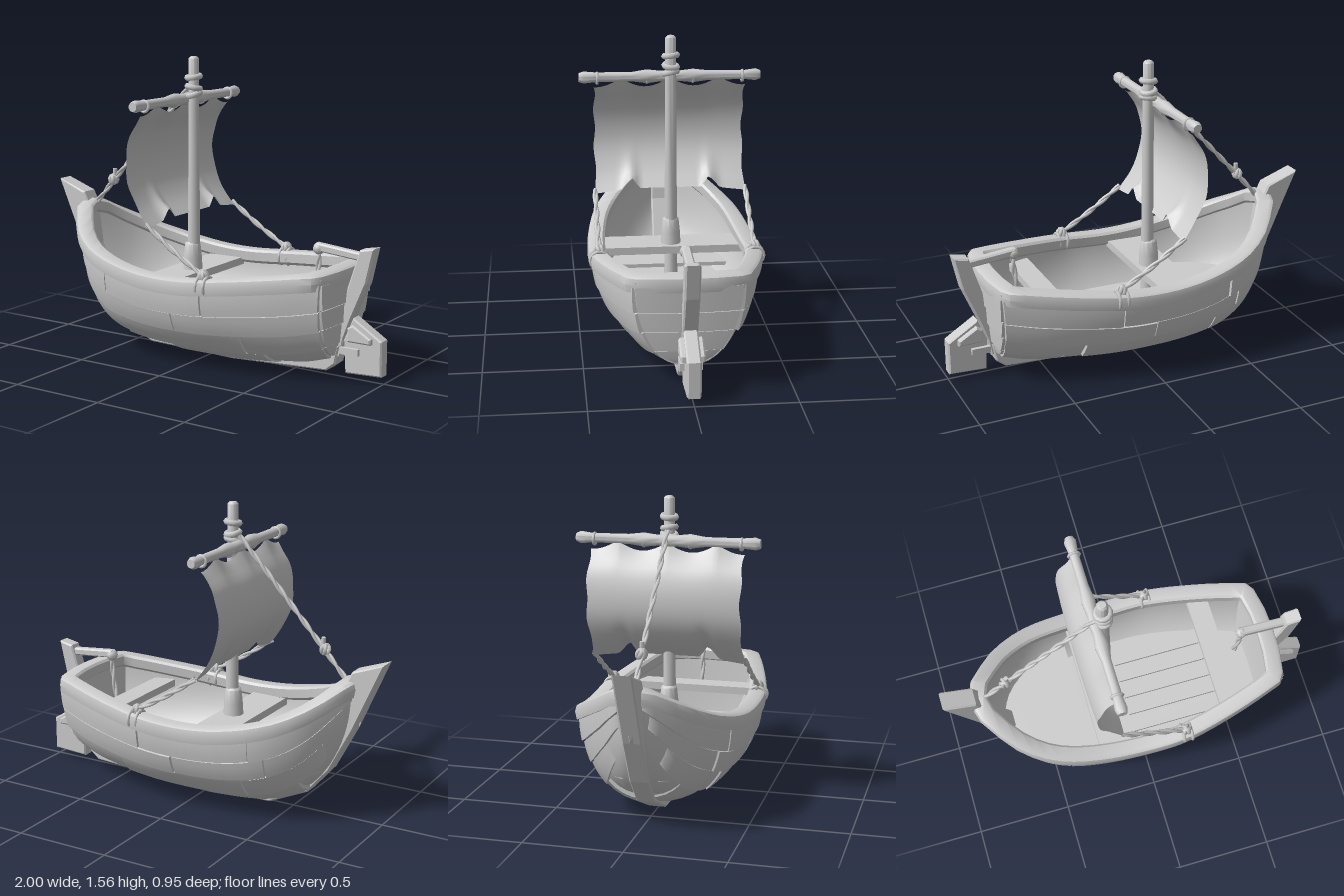
import * as THREE from 'three';
import { toCreasedNormals, mergeGeometries } from 'three/addons/utils/BufferGeometryUtils.js';

const V = (x, y, z) => new THREE.Vector3(x, y, z);
const grey = new THREE.MeshStandardMaterial({ color: 0xcccccc, side: THREE.DoubleSide });
grey.name = 'paleGrey';

let seed = 7;
const rand = () => (seed = (seed * 16807) % 2147483647) / 2147483647;

// smooth interpolation through [x, value] pairs
function interp(pts) {
  const n = pts.length - 1;
  const slope = (i) => {
    const a = pts[Math.max(0, i - 1)], b = pts[Math.min(n, i + 1)];
    return (b[1] - a[1]) / (b[0] - a[0]);
  };
  return (x) => {
    let i = 0;
    while (i < n - 1 && x > pts[i + 1][0]) i++;
    const d = pts[i + 1][0] - pts[i][0];
    const t = Math.min(1, Math.max(0, (x - pts[i][0]) / d)), s = t * t, c = s * t;
    return (2 * c - 3 * s + 1) * pts[i][1] + (c - 2 * s + t) * d * slope(i)
      + (3 * s - 2 * c) * pts[i + 1][1] + (c - s) * d * slope(i + 1);
  };
}

// surface from fn(u, v), u and v in 0..1
function grid(nu, nv, fn) {
  const pos = [], idx = [];
  for (let i = 0; i <= nu; i++) for (let j = 0; j <= nv; j++) {
    pos.push(...fn(i / nu, j / nv, i, j).toArray());
    if (i < nu && j < nv) {
      const a = i * (nv + 1) + j, b = a + nv + 1;
      idx.push(a, b, a + 1, b, b + 1, a + 1);
    }
  }
  const g = new THREE.BufferGeometry();
  g.setAttribute('position', new THREE.Float32BufferAttribute(pos, 3));
  g.setIndex(idx);
  g.computeVertexNormals();
  return g;
}

// raised patch with skirts; fn(u, v, height)
function patch(nu, nv, thick, fn) {
  return toCreasedNormals(grid(nu + 2, nv + 2, (a, b, i, j) => {
    const edge = i === 0 || j === 0 || i === nu + 2 || j === nv + 2;
    const u = Math.min(1, Math.max(0, (i - 1) / nu)), v = Math.min(1, Math.max(0, (j - 1) / nv));
    return fn(u, v, edge ? -0.01 : thick + 0.008 * (1 - v));
  }), 0.7);
}

// hull lines: half width, sheer height and keel height along x
const beam = interp([[-0.87, 0.035], [-0.83, 0.08], [-0.77, 0.165], [-0.66, 0.29], [-0.5, 0.385], [-0.3, 0.43], [0, 0.45], [0.2, 0.445], [0.5, 0.38], [0.8, 0.285]]);
const sheer = interp([[-0.86, 0.78], [-0.79, 0.73], [-0.69, 0.65], [-0.53, 0.57], [-0.26, 0.505], [0, 0.49], [0.33, 0.52], [0.8, 0.58]]);
const keelY = interp([[-0.84, 0.5], [-0.72, 0.27], [-0.6, 0.14], [-0.38, 0.06], [0.14, 0.045], [0.6, 0.07], [0.8, 0.115]]);
const FULL = 0.85;

function hullPoint(x, v, side, off) {
  const th = v * Math.PI / 2, k = keelY(x);
  const y = k + (sheer(x) - 0.03 - k) * (1 - Math.cos(th)) - off * Math.cos(th);
  const z = Math.max(0, (beam(x) - 0.03) * Math.pow(Math.sin(th), FULL) + off * Math.sin(th));
  return V(x - 0.06 * (1 - v) * Math.max(0, (x - 0.4) / 0.4), y, side * z);
}
function transomPoint(v, s, off) {
  const p = hullPoint(0.785, v, 1, 0);
  return V(p.x + 0.02 * (1 - s * s) * v + off, p.y, p.z * s);
}

// flat deck fitted inside the hull
function deck(x0, x1, y) {
  const pts = [];
  for (let i = 0; i <= 20; i++) {
    const x = x0 + (x1 - x0) * i / 20, k = keelY(x);
    const c = 1 - (y - k) / (sheer(x) - 0.03 - k);
    const th = Math.acos(Math.min(1, Math.max(0, c)));
    pts.push([x, Math.max(0.01, (beam(x) - 0.03) * Math.pow(Math.sin(th), FULL) - 0.02)]);
  }
  const shape = new THREE.Shape([...pts, ...pts.slice().reverse().map(([x, z]) => [x, -z])].map((p) => new THREE.Vector2(...p)));
  return new THREE.ExtrudeGeometry(shape, { depth: 0.02, bevelEnabled: false }).rotateX(Math.PI / 2).translate(0, y, 0);
}

// side profile in x, y given a width in z
function slab(points, width) {
  const shape = new THREE.Shape(points.map((p) => new THREE.Vector2(...p)));
  const b = 0.008;
  return new THREE.ExtrudeGeometry(shape, { depth: width - 2 * b, bevelThickness: b, bevelSize: b, bevelOffset: -b, bevelSegments: 1 })
    .translate(0, 0, b - width / 2);
}

// two strands twisted round a path
function rope(points, r = 0.009) {
  const curve = new THREE.CatmullRomCurve3(points), len = curve.getLength(), n = Math.ceil(len * 50);
  const t = points[points.length - 1].clone().sub(points[0]).normalize();
  const a = V(0, 0, 1).cross(t).normalize(), b = t.clone().cross(a);
  return mergeGeometries([0, Math.PI].map((phase) => {
    const pts = [];
    for (let i = 0; i <= n; i++) {
      const w = phase + i / n * len * 30;
      pts.push(curve.getPoint(i / n).addScaledVector(a, r * 0.7 * Math.cos(w)).addScaledVector(b, r * 0.7 * Math.sin(w)));
    }
    return new THREE.TubeGeometry(new THREE.CatmullRomCurve3(pts), n * 2, r, 6);
  }));
}

// round bar turned from [radius, height] pairs
const turned = (pts) => toCreasedNormals(new THREE.LatheGeometry(pts.map((p) => new THREE.Vector2(...p)), 10), 0.8);

export function createModel() {
  const boat = new THREE.Group();
  boat.name = 'sailingBoat';
  const add = (name, geo, parent = boat) => {
    const m = new THREE.Mesh(geo, grey);
    m.name = name;
    parent.add(m);
    return m;
  };
  const box = (name, w, h, d, x, y, z) => add(name, new THREE.BoxGeometry(w, h, d).translate(x, y, z));

  // hull skin, lining and overlapping planks
  const strakes = [[0.02, 0.37], [0.38, 0.59], [0.6, 0.76], [0.77, 0.96]];
  const joints = [[-0.62, -0.1, 0.45, 0.785], [-0.74, -0.37, 0.36, 0.785], [-0.81, -0.5, 0, 0.785], [-0.84, -0.43, 0.19, 0.785]];
  for (const side of [1, -1]) {
    add('hullSkin', grid(36, 12, (u, v) => hullPoint(-0.86 + 1.645 * u, v, side, 0)));
    add('hullLining', grid(36, 12, (u, v) => hullPoint(-0.82 + 1.54 * u, v, side, -0.03)));
    strakes.forEach(([v0, v1], s) => {
      for (let i = 0; i < 3; i++) {
        const x0 = joints[s][i] + 0.004, x1 = joints[s][i + 1] - 0.004, thick = 0.004 + 0.014 * rand();
        add('plank', patch(12, 4, thick, (u, v, h) => hullPoint(x0 + (x1 - x0) * u, v0 + (v1 - v0) * v, side, h)));
      }
    });
  }

  // stern board with its planks
  add('transom', grid(12, 10, (u, v) => transomPoint(v, u * 2 - 1, 0)));
  add('transomLining', grid(12, 10, (u, v) => transomPoint(v, u * 2 - 1, -0.07)));
  strakes.forEach(([v0, v1]) => add('transomPlank', patch(10, 3, 0.002 + 0.008 * rand(),
    (u, v, h) => transomPoint(v0 + (v1 - v0) * v, u * 2 - 1, h))));

  // gunwale rail swept round the sheer
  const half = [];
  for (let i = 0; i <= 24; i++) {
    const x = -0.79 + 1.515 * i / 24;
    half.push([x, Math.max(0.05, beam(x) - 0.045)]);
  }
  half.push([0.745, 0.235]);
  const path = [[-0.82, 0], ...half, [0.765, 0.12], [0.77, 0], [0.765, -0.12], ...half.slice().reverse().map(([x, z]) => [x, -z])];
  const section = [[0.047, -0.04], [0.04, -0.01], [0.025, 0], [-0.035, 0], [-0.047, -0.012], [-0.045, -0.06], [-0.03, -0.075], [0.04, -0.08], [0.047, -0.04]];
  const n = path.length;
  add('gunwale', toCreasedNormals(grid(n, section.length - 1, (u, v, i, j) => {
    const p = path[i % n], a = path[(i + n - 1) % n], b = path[(i + 1) % n];
    const d1 = new THREE.Vector2(p[0] - a[0], p[1] - a[1]).normalize();
    const t = new THREE.Vector2(b[0] - p[0], b[1] - p[1]).normalize().add(d1).normalize();
    const miter = Math.min(1.3, 1 / Math.max(0.1, t.dot(d1))), o = section[j][0] * miter;
    return V(p[0] - t.y * o, sheer(p[0]) + section[j][1], p[1] + t.x * o);
  }), 0.7));

  // stem, keel, stern post and rudder
  add('stemAndKeel', slab([[-1, 0.85], [-0.84, 0.48], [-0.72, 0.25], [-0.6, 0.11], [-0.38, 0.01], [0.14, 0], [0.7, 0.03], [0.75, 0.07], [0.77, 0.17],
    [0.6, 0.1], [0.14, 0.07], [-0.33, 0.08], [-0.54, 0.15], [-0.66, 0.27], [-0.77, 0.5], [-0.8, 0.73], [-0.83, 0.79]], 0.1));
  add('sternPost', slab([[0.95, 0.68], [0.87, 0.665], [0.79, 0.42], [0.73, 0.12], [0.77, 0.1], [0.79, 0.2], [0.83, 0.31], [0.91, 0.5]], 0.075));
  add('rudder', slab([[0.8, 0.03], [1, 0.04], [1, 0.22], [0.84, 0.32], [0.79, 0.2]], 0.07));
  add('rudderCheeks', slab([[0.82, 0.2], [0.95, 0.2], [0.95, 0.23], [0.85, 0.29], [0.82, 0.27]], 0.12));
  for (const z of [0.045, -0.045]) box('rudderPeg', 0.1, 0.035, 0.02, 0.83, 0.15, z);

  // tiller with its lashing
  add('tiller', slab([[0.6, 0.63], [0.615, 0.67], [0.88, 0.645], [0.88, 0.605]], 0.045));
  add('tillerKnob', new THREE.SphereGeometry(0.032, 8, 6).translate(0.625, 0.64, 0));
  add('tillerRope', rope([V(0.63, 0.64, 0), V(0.62, 0.53, 0), V(0.6, 0.4, 0)]));

  // inside: floor boards, foredeck and benches
  add('floor', deck(-0.55, 0.7, 0.2));
  add('foredeck', deck(-0.69, -0.28, 0.27));
  for (let i = -2; i <= 2; i++) box('floorBoard', 0.5 + 0.15 * rand(), 0.016, 0.085, 0.2, 0.206, i * 0.1);
  box('mastBench', 0.2, 0.04, 0.76, -0.16, 0.42, 0);
  box('sternBench', 0.115, 0.04, 0.66, 0.485, 0.42, 0);

  // mast with collar and rope bindings
  add('mast', turned([[0, 0.2], [0.036, 0.2], [0.033, 0.6], [0.029, 1.3], [0.028, 1.55], [0.018, 1.56], [0, 1.56]])).position.x = -0.13;
  add('mastCollar', turned([[0.054, 0.42], [0.05, 0.5], [0.042, 0.575], [0.03, 0.585]])).position.x = -0.138;
  [[1.365, 0.2], [1.4, -0.15], [1.455, 0.1]].forEach(([y, tilt]) => {
    const ring = add('mastBinding', new THREE.TorusGeometry(0.034, 0.016, 6, 12).rotateX(Math.PI / 2));
    ring.position.set(-0.13, y, 0);
    ring.rotation.set(tilt, 0, tilt);
  });

  // yard with bulges and lashings
  add('yard', turned([[0, -0.475], [0.022, -0.475], [0.032, -0.45], [0.024, -0.39], [0.026, -0.2], [0.036, -0.12], [0.028, -0.05], [0.033, 0],
    [0.028, 0.05], [0.037, 0.12], [0.025, 0.2], [0.026, 0.39], [0.032, 0.45], [0.024, 0.475], [0, 0.475]]).rotateX(Math.PI / 2)).position.set(-0.17, 1.34, 0);
  for (const z of [-0.38, -0.12, 0.12, 0.38])
    add('yardLashing', new THREE.TorusGeometry(0.028, 0.008, 6, 12)).position.set(-0.17, 1.335, z);

  // billowing sail with a ragged lower edge and a scalloped head
  const belly = interp([[0, -0.14], [0.15, -0.21], [0.35, -0.265], [0.55, -0.275], [0.75, -0.25], [0.9, -0.205], [1, -0.18]]);
  const foot = (z) => {
    const a = Math.abs(z), notch = Math.max(0, 1 - Math.abs(a - 0.205) / (a < 0.205 ? 0.04 : 0.06));
    return 0.745 - 0.025 * Math.max(0, (a - 0.2) / 0.2) + 0.06 * notch;
  };
  add('sail', grid(40, 20, (u, v) => {
    const s = u * 2 - 1, z = s * (0.4 - 0.01 * Math.sin(v * 9) ** 2);
    const head = 0.045 * Math.abs(Math.sin(s * Math.PI * 1.55)) * v ** 8, notch = (foot(z) - 0.735) * (1 - v) ** 6;
    return V(belly(v) - 0.012 * (1 - s * s) * Math.sin(v * Math.PI), 0.735 + 0.595 * v - head + notch, z);
  }));

  // sheets, forestay and their knots
  const knot = (x, y, z) => {
    const g = new THREE.Group();
    g.name = 'knot';
    g.position.set(x, y, z);
    [[0, 0.4], [0.9, -0.3], [2, 0.2]].forEach(([ry, rx]) => add('knotLoop', new THREE.TorusGeometry(0.022, 0.011, 6, 10), g).rotation.set(rx, ry, 0));
    boat.add(g);
  };
  for (const z of [0.4, -0.4]) {
    add('sheet', rope([V(-0.15, 0.74, z), V(0.02, 0.625, z), V(0.2, 0.52, z)]));
    knot(0.2, 0.52, z);
    for (const x of [0.18, 0.225])
      add('railLashing', new THREE.TorusGeometry(0.046, 0.009, 6, 14).rotateY(Math.PI / 2)).position.set(x, 0.472, z);
  }
  add('forestay', rope([V(-0.13, 1.43, 0), V(-0.46, 1.08, 0), V(-0.79, 0.72, 0)]));
  knot(-0.66, 0.87, 0);
  add('knotTail', new THREE.CylinderGeometry(0.012, 0.014, 0.08, 6).translate(-0.65, 0.89, 0));
  return boat;
}
